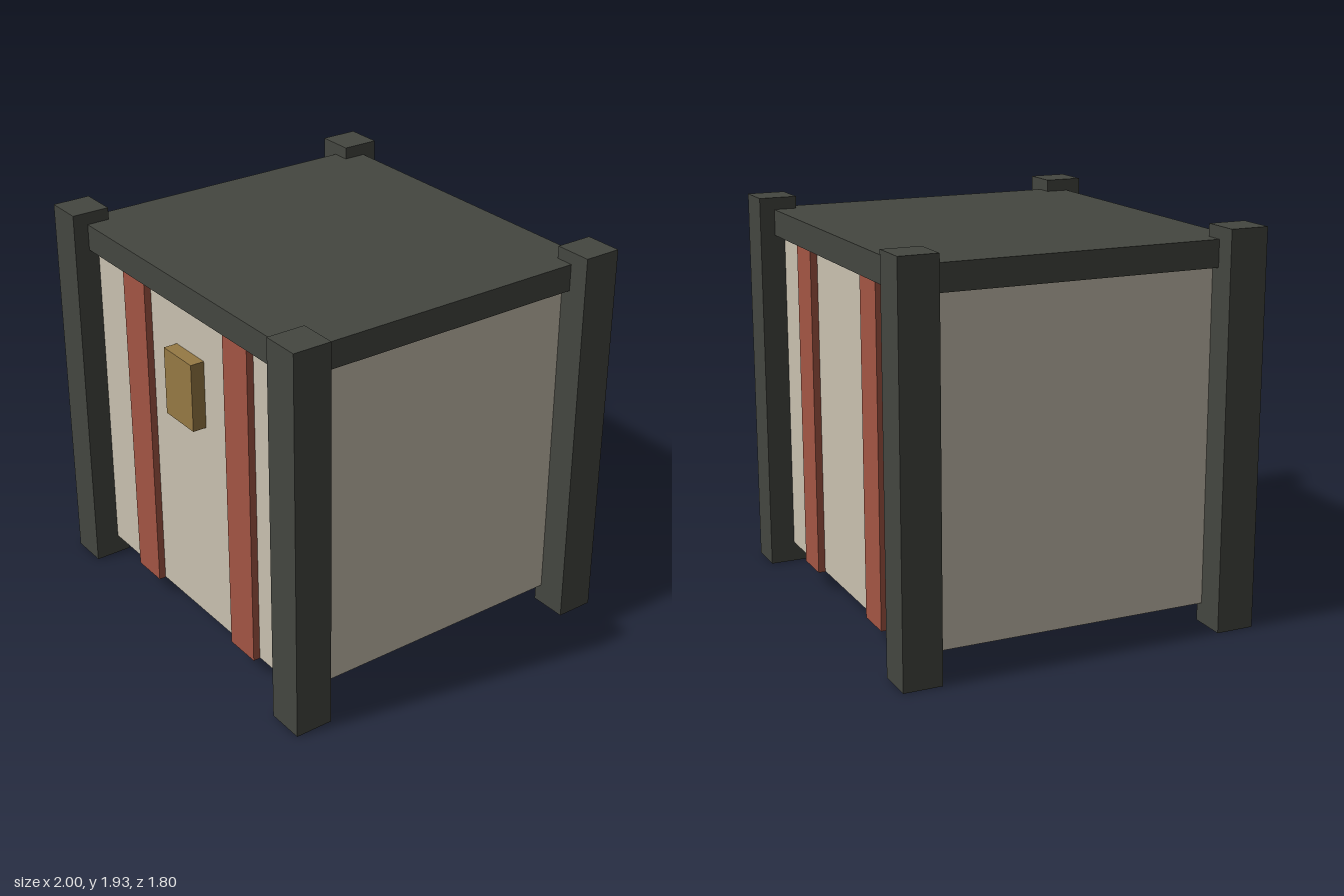
import * as THREE from 'three';

const material = (color) => new THREE.MeshStandardMaterial({ color, flatShading: true });

export function createModel() {
  const group = new THREE.Group();
  const iron = material(0x444640);
  const canvas = material(0xc9c1b0);
  const leather = material(0xa35544);
  const brass = material(0x967944);

  // Box given by its lower and upper corners
  const box = (name, mat, [x0, y0, z0], [x1, y1, z1]) => {
    const mesh = new THREE.Mesh(new THREE.BoxGeometry(x1 - x0, y1 - y0, z1 - z0), mat);
    mesh.position.set((x0 + x1) / 2, (y0 + y1) / 2, (z0 + z1) / 2);
    mesh.name = name;
    group.add(mesh);
    return mesh;
  };

  // Crate body and overhanging lid
  box('body', canvas, [-0.85, 0.1, -0.775], [0.85, 1.74, 0.775]);
  box('lid', iron, [-0.9, 1.74, -0.825], [0.9, 1.87, 0.825]);

  // Corner posts that also serve as feet
  for (const sx of [-1, 1]) {
    for (const sz of [-1, 1]) {
      const post = box('cornerPost', iron, [-0.095, 0, -0.095], [0.095, 1.93, 0.095]);
      post.position.x = sx * 0.905;
      post.position.z = sz * 0.805;
    }
  }

  // Straps wrapping front, underside and back
  for (const x of [-0.425, 0.425]) {
    box('strap', leather, [x - 0.095, 0.097, -0.81], [x + 0.095, 1.74, 0.81]);
  }

  // Lock plate on the front
  box('lockPlate', brass, [-0.115, 1.16, 0.765], [0.115, 1.5, 0.845]);

  return group;
}
